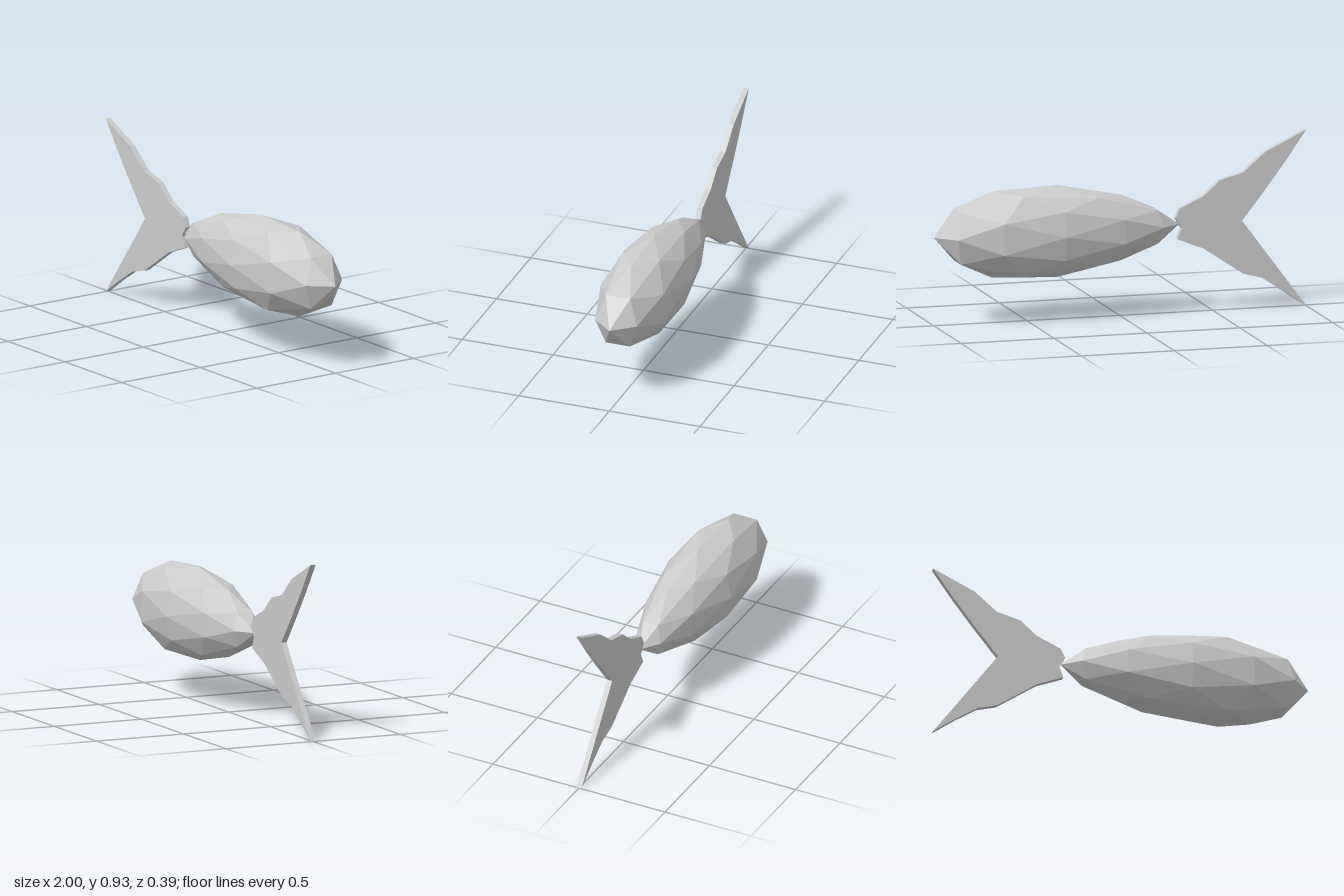
import * as THREE from 'three';

const MID_Y = 0.4625;

// Faceted body: a low-poly sphere stretched along x and tapered toward the tail
function makeBody(material) {
  const geometry = new THREE.IcosahedronGeometry(1, 1);
  const p = geometry.attributes.position;
  for (let i = 0; i < p.count; i++) {
    const u = p.getX(i);
    const girth = 0.2425 + 0.06 * u - 0.028 * u * u;
    p.setXYZ(i, 0.34 + 0.66 * u, MID_Y + p.getY(i) * girth, p.getZ(i) * girth * 0.8);
  }
  geometry.computeVertexNormals();
  const mesh = new THREE.Mesh(geometry, material);
  mesh.name = 'body';
  return mesh;
}

// Flat forked tail fin, cut from a thin slab
function makeTailFin(material) {
  const thickness = 0.03;
  const outline = [
    // fork
    [-1, 0.925], [-0.89, 0.768], [-0.783, 0.626], [-0.655, 0.465], [-1, 0],
    // lower edge
    [-0.88, 0.085], [-0.765, 0.158], [-0.66, 0.186], [-0.447, 0.33], [-0.307, 0.385],
    // root
    [-0.33, 0.443], [-0.297, 0.497], [-0.322, 0.547],
    // upper edge
    [-0.447, 0.604], [-0.537, 0.684], [-0.66, 0.717], [-0.78, 0.82],
  ];
  const shape = new THREE.Shape(outline.map(([x, y]) => new THREE.Vector2(x, y)));
  const geometry = new THREE.ExtrudeGeometry(shape, { depth: thickness, bevelEnabled: false });
  geometry.translate(0, 0, -thickness / 2);
  const mesh = new THREE.Mesh(geometry, material);
  mesh.name = 'tailFin';
  return mesh;
}

export function createModel() {
  const group = new THREE.Group();
  group.name = 'fish';
  const material = new THREE.MeshStandardMaterial({ color: 0xcccccc, flatShading: true });
  group.add(makeBody(material), makeTailFin(material));
  return group;
}
